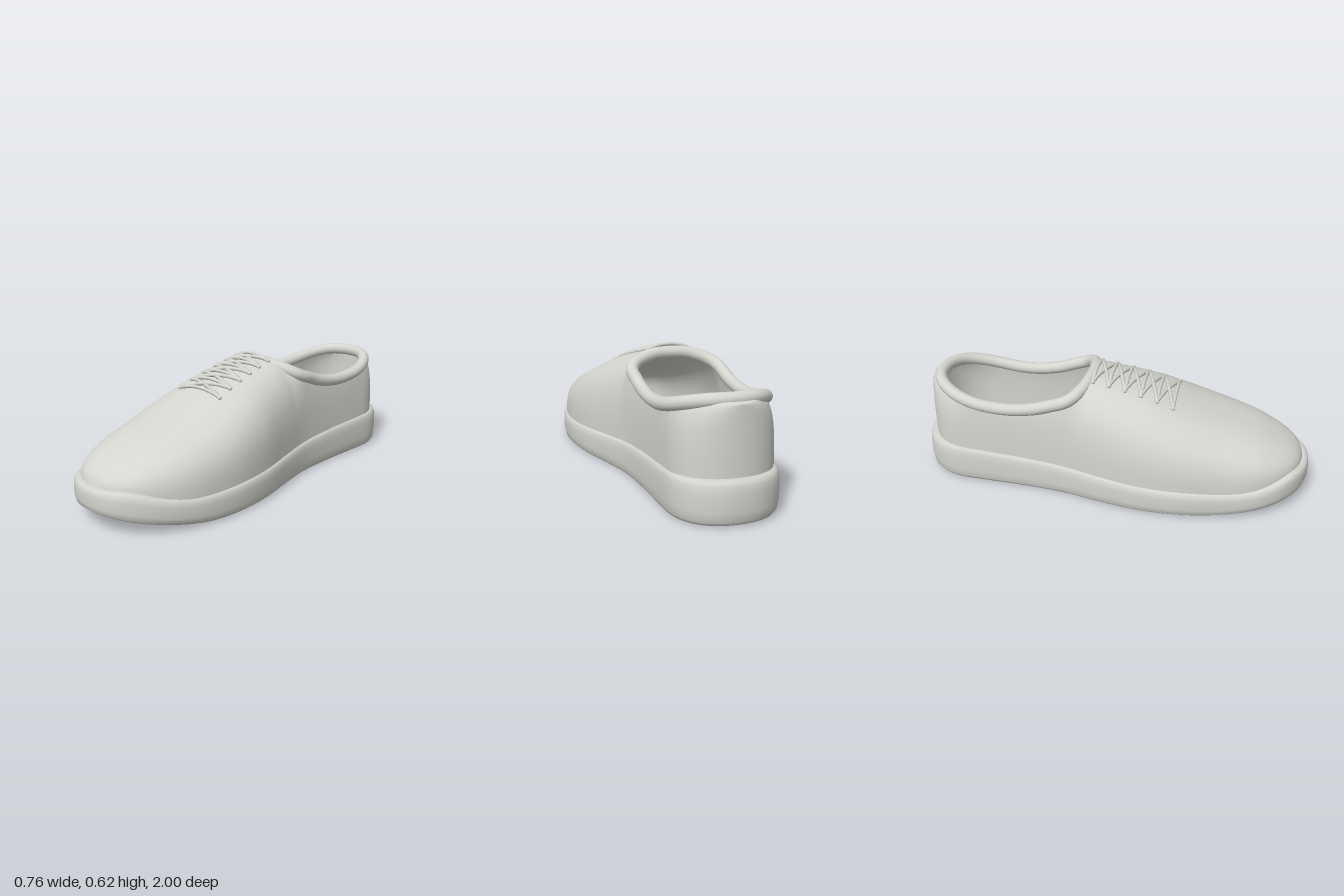
import * as THREE from 'three';
import { mergeGeometries, mergeVertices } from 'three/addons/utils/BufferGeometryUtils.js';

// Smooth curve through [z, value] pairs
function table(p) {
  const slope = i => {
    const a = p[Math.max(i - 1, 0)], b = p[Math.min(i + 1, p.length - 1)];
    return (b[1] - a[1]) / (b[0] - a[0]);
  };
  return z => {
    if (z <= p[0][0]) return p[0][1];
    if (z >= p[p.length - 1][0]) return p[p.length - 1][1];
    let i = 0;
    while (z > p[i + 1][0]) i++;
    const h = p[i + 1][0] - p[i][0], t = (z - p[i][0]) / h, t2 = t * t, t3 = t2 * t;
    return (2 * t3 - 3 * t2 + 1) * p[i][1] + (t3 - 2 * t2 + t) * h * slope(i)
      + (3 * t2 - 2 * t3) * p[i + 1][1] + (t3 - t2) * h * slope(i + 1);
  };
}

const halfWidth = table([[-1, 0.25], [-0.6, 0.256], [-0.4, 0.261], [-0.2, 0.278], [0, 0.322],
  [0.2, 0.364], [0.4, 0.376], [0.6, 0.352], [0.8, 0.307], [1, 0.275]]);
const centre = table([[-1, -0.02], [-0.2, -0.027], [0, -0.024], [0.2, -0.012], [0.4, 0.002],
  [0.6, 0.012], [0.8, 0.01], [1, 0.015]]);
const soleTop = table([[-1, 0.198], [-0.5, 0.177], [0, 0.153], [0.4, 0.141], [0.65, 0.136],
  [0.8, 0.157], [0.93, 0.195], [1, 0.195]]);
const soleBottom = table([[-1, 0.004], [-0.9, 0], [0.5, 0], [0.65, 0.01], [0.85, 0.045], [1, 0.078]]);
// Top line of the upper: heel, collar edge, then the crest of the vamp
const ridge = table([[-0.955, 0.5], [-0.9, 0.51], [-0.8, 0.486], [-0.7, 0.46], [-0.6, 0.443],
  [-0.5, 0.438], [-0.4, 0.448], [-0.3, 0.473], [-0.2, 0.517], [-0.135, 0.564], [-0.11, 0.587],
  [-0.1, 0.597], [0, 0.58], [0.2, 0.53], [0.3, 0.495], [0.5, 0.422], [0.73, 0.347], [0.8, 0.318],
  [0.9, 0.268], [0.95, 0.227], [0.967, 0.19]]);

// Rounds off a width near both ends of a z range
function ends(z, z0, r0, z1, r1) {
  const cap = (d, r) => d >= r ? 1
    : Math.pow(Math.max(0, 1 - Math.pow(1 - Math.max(d, 0) / r, 2.2)), 1 / 2.2);
  return cap(z - z0, r0) * cap(z1 - z, r1);
}

const HEEL = -0.955, TOE = 0.967, BACK = -0.9, FRONT = -0.1;
const soleW = z => halfWidth(z) * ends(z, -1, 0.26, 1, 0.3);
const upperW = z => (halfWidth(z) - 0.017) * ends(z, HEEL, 0.23, TOE, 0.3);
const collarW = z => z <= BACK || z >= FRONT ? 0 : 0.226 * ends(z, BACK, 0.29, FRONT, 0.12);
const upperBase = z => soleTop(z) - 0.04;

// Arch exponents: boxy at the heel, domed over the vamp
const archX = table([[-0.9, 5], [-0.4, 4], [-0.1, 2.5], [1, 2.5]]);
const ARCH_Y = 3.3;

// Height of the vamp at x, z
function vampY(x, z) {
  const u = Math.min(1, Math.abs(x - centre(z)) / upperW(z)), b = upperBase(z);
  return b + (ridge(z) - b) * Math.pow(1 - Math.pow(u, archX(z)), 1 / ARCH_Y);
}

// Surface through rows of [x, y, z] points
function loft(rows, flip) {
  const n = rows[0].length, index = [];
  for (let i = 0; i < rows.length - 1; i++) {
    for (let j = 0; j < n - 1; j++) {
      const a = i * n + j, b = a + 1, c = a + n, d = c + 1;
      if (flip) index.push(a, c, b, b, c, d);
      else index.push(a, b, c, b, d, c);
    }
  }
  const g = new THREE.BufferGeometry();
  g.setAttribute('position', new THREE.Float32BufferAttribute(rows.flat(2), 3));
  g.setIndex(index);
  return g;
}

function smooth(g) {
  const m = mergeVertices(g, 1e-5);
  m.computeVertexNormals();
  return m;
}

// Sole: rounded band following the outline, closed above and below
function soleGeometry() {
  const profile = [[1, 0], [0.05, 0], [0.018, 0.012], [0.006, 0.1], [0, 0.32], [0, 0.7],
    [0.004, 0.87], [0.012, 0.96], [0.026, 1], [0.07, 0.98], [1, 0.98]];
  const rows = [], N = 128;
  for (let i = 0; i <= N; i++) {
    const a = (i % N) / N * Math.PI * 2;
    const z = Math.cos(a), side = Math.sin(a) < 0 ? -1 : 1;
    const w = i % (N / 2) === 0 ? 0 : soleW(z);
    rows.push(profile.map(([k, v]) => {
      const inner = k === 1;
      const x = inner ? 0 : side * w * (1 - k / 0.34);
      return [centre(z) + x, soleBottom(z) + (soleTop(z) - soleBottom(z)) * v, z * (inner ? 0.92 : 1 - k)];
    }));
  }
  return smooth(loft(rows, true));
}

// Upper: arched cross-sections, cut off at the collar line
function upperGeometry() {
  const zs = [HEEL];
  for (const [a, b, n] of [[HEEL, BACK, 10], [BACK, FRONT, 48], [FRONT, TOE, 48]]) {
    for (let i = 1; i <= n; i++) zs.push(i === n ? b : a + (b - a) * (1 - Math.cos(Math.PI * i / n)) / 2);
  }
  const half = s => loft(zs.map(z => {
    const w = upperW(z), xc = collarW(z), b = upperBase(z), nx = archX(z), row = [];
    const top = xc > 0 ? Math.acos(Math.pow(Math.min(xc / w, 0.98), nx / 2)) : Math.PI / 2;
    for (let j = 0; j <= 24; j++) {
      const p = j / 24 * top;
      const x = j === 24 && xc === 0 ? 0 : w * Math.pow(Math.cos(p), 2 / nx);
      const rise = Math.pow(Math.sin(p) / Math.sin(top), 2 / ARCH_Y);
      row.push([centre(z) + s * x, b + (ridge(z) - b) * rise, z]);
    }
    return row;
  }), s < 0);
  return smooth(mergeGeometries([half(1), half(-1)]));
}

// Collar: padded tube around the opening, sunk into the vamp at the front
function collarGeometry() {
  const sink = table([[-0.25, 0], [FRONT, 0.025]]);
  const ring = [];
  for (let i = 0; i < 40; i++) {
    const a = i / 40 * Math.PI * 2;
    const z = (BACK + FRONT) / 2 + (FRONT - BACK) / 2 * Math.cos(a);
    const x = Math.sign(Math.sin(a)) * (i % 20 ? collarW(z) : 0);
    ring.push(new THREE.Vector3(centre(z) + x, ridge(z) - sink(z), z));
  }
  return new THREE.TubeGeometry(new THREE.CatmullRomCurve3(ring, true), 160, 0.031, 14, true);
}

export function createModel() {
  const group = new THREE.Group();
  group.name = 'shoe';
  const material = new THREE.MeshStandardMaterial({ color: 0xd4d5cf, side: THREE.DoubleSide });
  material.name = 'light grey';
  const add = (name, geometry, parent = group) => {
    const mesh = new THREE.Mesh(geometry, material);
    mesh.name = name;
    parent.add(mesh);
    return mesh;
  };

  add('sole', soleGeometry());
  add('upper', upperGeometry());
  add('collar', collarGeometry());

  // Laces: straight rows with crossings between them
  const laces = new THREE.Group();
  laces.name = 'laces';
  group.add(laces);
  const lace = (name, x0, z0, x1, z1, lift) => {
    const pts = [];
    for (let i = 0; i <= 8; i++) {
      const t = i / 8, x = x0 + (x1 - x0) * t, z = z0 + (z1 - z0) * t;
      pts.push(new THREE.Vector3(x, vampY(x, z) + lift * Math.sin(Math.PI * t) + 0.005, z));
    }
    add(name, new THREE.TubeGeometry(new THREE.CatmullRomCurve3(pts), 24, 0.009, 8), laces);
  };
  const eyelet = new THREE.SphereGeometry(0.011, 12, 8);
  const rows = [];
  for (let i = 0; i < 6; i++) rows.push({ z: -0.078 + i * 0.079, l: -0.148, r: 0.08 + i * 0.011 });
  rows.forEach((a, i) => {
    lace('laceRow', a.l, a.z, a.r, a.z, 0.01);
    for (const x of [a.l, a.r]) {
      add('laceEnd', eyelet, laces).position.set(x, vampY(x, a.z) + 0.004, a.z);
    }
    const b = rows[i + 1];
    if (!b) return;
    lace('laceCross', a.l, a.z, b.r, b.z, 0.002);
    lace('laceCross', a.r, a.z, b.l, b.z, 0.008);
  });
  return group;
}
